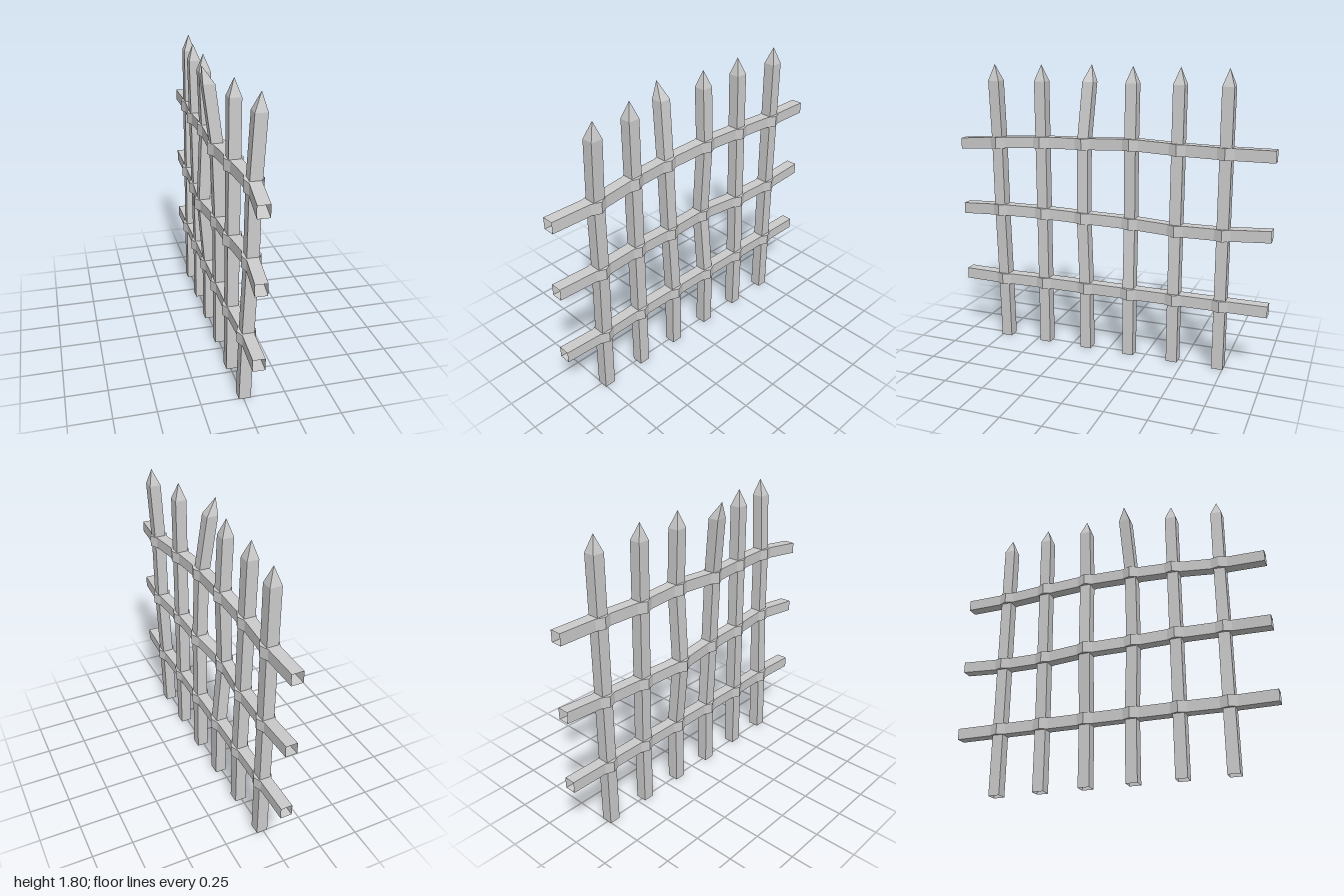
import * as THREE from 'three';

const material = new THREE.MeshStandardMaterial({ color: 0xcccccc, flatShading: true, side: THREE.DoubleSide });
const HALF = 0.035;   // half thickness of the bars
const BULGE = 0.057;  // half width of a rail where it wraps a picket
const X0 = 0.008;     // undisturbed centre line

// Open-ended square tube through a list of four-cornered rings
function loft(name, rings) {
  const pos = [];
  for (let i = 0; i < rings.length - 1; i++) {
    for (let k = 0; k < 4; k++) {
      const n = (k + 1) % 4;
      const a = rings[i][k], b = rings[i][n], c = rings[i + 1][n], d = rings[i + 1][k];
      pos.push(...a, ...b, ...c);
      // skip the collapsed triangle at a pointed end
      if (Math.hypot(c[0] - d[0], c[1] - d[1], c[2] - d[2]) > 1e-6) pos.push(...a, ...c, ...d);
    }
  }
  const geometry = new THREE.BufferGeometry();
  geometry.setAttribute('position', new THREE.Float32BufferAttribute(pos, 3));
  geometry.computeVertexNormals();
  const mesh = new THREE.Mesh(geometry, material);
  mesh.name = name;
  return mesh;
}

const picketRing = (x, y, z, h) =>
  [[x + h, y, z + h], [x + h, y, z - h], [x - h, y, z - h], [x - h, y, z + h]];
const railRing = (x, y, z, w) =>
  [[x + w, y + HALF, z], [x - w, y + HALF, z], [x - w, y - HALF, z], [x + w, y - HALF, z]];

// Pickets from front to back: x at the low, mid and top rail, shoulder and tip,
// and the sideways drift in z at those same places
const pickets = [
  { z: 0.72, x: [0.018, 0.036, 0.04, 0.06, 0.068], dz: [0, 0, 0, 0, 0] },
  { z: 0.434, x: [X0, X0, X0, X0, X0], dz: [0, 0, 0, 0, 0] },
  { z: 0.147, x: [X0, 0, -0.018, -0.065, -0.1], dz: [0, 0.018, 0.02, 0, 0] },
  { z: -0.142, x: [X0, -0.03, -0.008, -0.022, -0.025], dz: [0, 0.007, 0, 0, 0] },
  { z: -0.43, x: [X0, -0.002, -0.012, -0.02, -0.025], dz: [0, 0, 0, 0, 0] },
  { z: -0.718, x: [X0, X0, X0, X0, X0], dz: [0, 0, 0, 0, 0] },
];

// Rails: heights at the front end, each picket, and the back end
const rails = [
  { name: 'lowRail', y: [0.41, 0.41, 0.41, 0.41, 0.41, 0.41, 0.41, 0.41] },
  { name: 'midRail', y: [0.863, 0.882, 0.875, 0.866, 0.852, 0.843, 0.848, 0.866] },
  { name: 'topRail', y: [1.292, 1.316, 1.328, 1.328, 1.343, 1.328, 1.325, 1.325] },
];

export function createModel() {
  const fence = new THREE.Group();
  fence.name = 'fence';

  // Bent pickets with pyramid points
  pickets.forEach((p, i) => {
    const heights = [...rails.map((r) => r.y[i + 1]), 1.7, 1.8];
    const rings = [picketRing(X0, 0, p.z, HALF)];
    heights.forEach((y, k) => rings.push(picketRing(p.x[k], y, p.z + p.dz[k], k === 4 ? 0 : HALF)));
    fence.add(loft('picket' + (i + 1), rings));
  });

  // Rails that follow the pickets and widen around each one
  rails.forEach((rail, r) => {
    const path = [
      new THREE.Vector3(X0, rail.y[0], 1),
      ...pickets.map((p, i) => new THREE.Vector3(p.x[r], rail.y[i + 1], p.z + p.dz[r])),
      new THREE.Vector3(X0, rail.y[7], -1),
    ];
    const rings = [];
    path.forEach((p, i) => {
      const near = (q) => {
        const s = p.clone().lerp(q, 0.05 / Math.abs(q.z - p.z));
        rings.push(railRing(s.x, s.y, s.z, HALF));
      };
      const end = i === 0 || i === path.length - 1;
      if (!end) near(path[i - 1]);
      rings.push(railRing(p.x, p.y, p.z, end ? HALF : BULGE));
      if (!end) near(path[i + 1]);
    });
    fence.add(loft(rail.name, rings.reverse()));
  });

  return fence;
}
